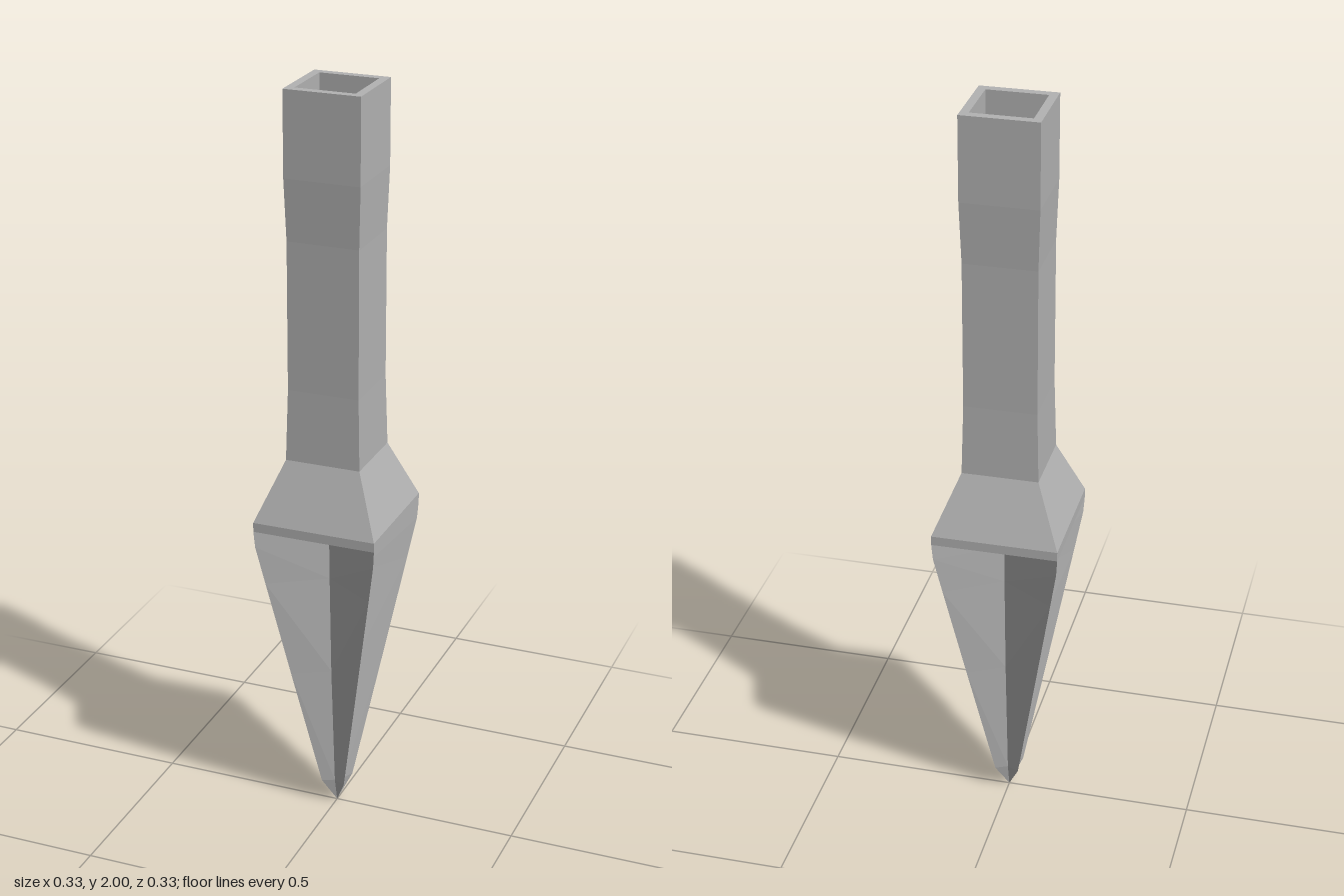
import * as THREE from 'three';

// Eight-point ring: c = half-width at the corners, m = half-width at the side middles
function ring([y, c, m]) {
  const corners = [[1, 1], [1, -1], [-1, -1], [-1, 1]];
  const pts = [];
  corners.forEach(([x, z], i) => {
    const [nx, nz] = corners[(i + 1) % 4];
    pts.push([x * c, y, z * c], [(x + nx) / 2 * m, y, (z + nz) / 2 * m]);
  });
  return pts;
}

// Skin successive rings; the diagonals mirror about every corner
function loft(sections, inside = false) {
  const rings = sections.map(ring);
  const pos = [];
  for (let i = 0; i < rings.length - 1; i++) {
    for (let k = 0; k < 8; k++) {
      const n = (k + 1) % 8;
      const a = rings[i][k], b = rings[i][n];
      const c = rings[i + 1][k], d = rings[i + 1][n];
      const tris = (k % 2 === 0) !== inside ? [a, b, c, b, d, c] : [a, b, d, a, d, c];
      tris.forEach((p) => pos.push(...p));
    }
  }
  const geo = new THREE.BufferGeometry();
  geo.setAttribute('position', new THREE.Float32BufferAttribute(pos, 3));
  geo.computeVertexNormals();
  return geo;
}

export function createModel() {
  const group = new THREE.Group();
  group.name = 'socketedSpearPoint';
  const steel = new THREE.MeshStandardMaterial({ color: 0xb2b2b2, flatShading: true });
  steel.name = 'grey steel';

  const add = (name, sections, inside) => {
    const mesh = new THREE.Mesh(loft(sections, inside), steel);
    mesh.name = name;
    group.add(mesh);
  };

  // Four-edged fluted blade, from the point upwards
  add('blade', [
    [0, 0, 0], [0.07, 0.032, 0.017], [0.42, 0.094, 0.042],
    [0.7, 0.143, 0.053], [0.81, 0.162, 0.056],
  ]);
  // Flared collar with its sloping underside
  add('collar', [
    [0.81, 0.162, 0.056], [0.855, 0.165, 0.165],
    [0.88, 0.165, 0.165], [1.04, 0.1, 0.1],
  ]);
  // Square shaft with a slight waist
  add('shaft', [
    [1.04, 0.1, 0.1], [1.23, 0.095, 0.095], [1.62, 0.095, 0.095],
    [1.78, 0.1, 0.1], [2, 0.1, 0.1],
  ]);
  // Top rim, then the hollow running down into the blade
  add('rim', [[2, 0.1, 0.1], [2, 0.078, 0.078]], true);
  add('socket', [
    [2, 0.078, 0.078], [0.92, 0.078, 0.078],
    [0.81, 0.078, 0.025], [0.12, 0, 0],
  ], true);
  return group;
}
